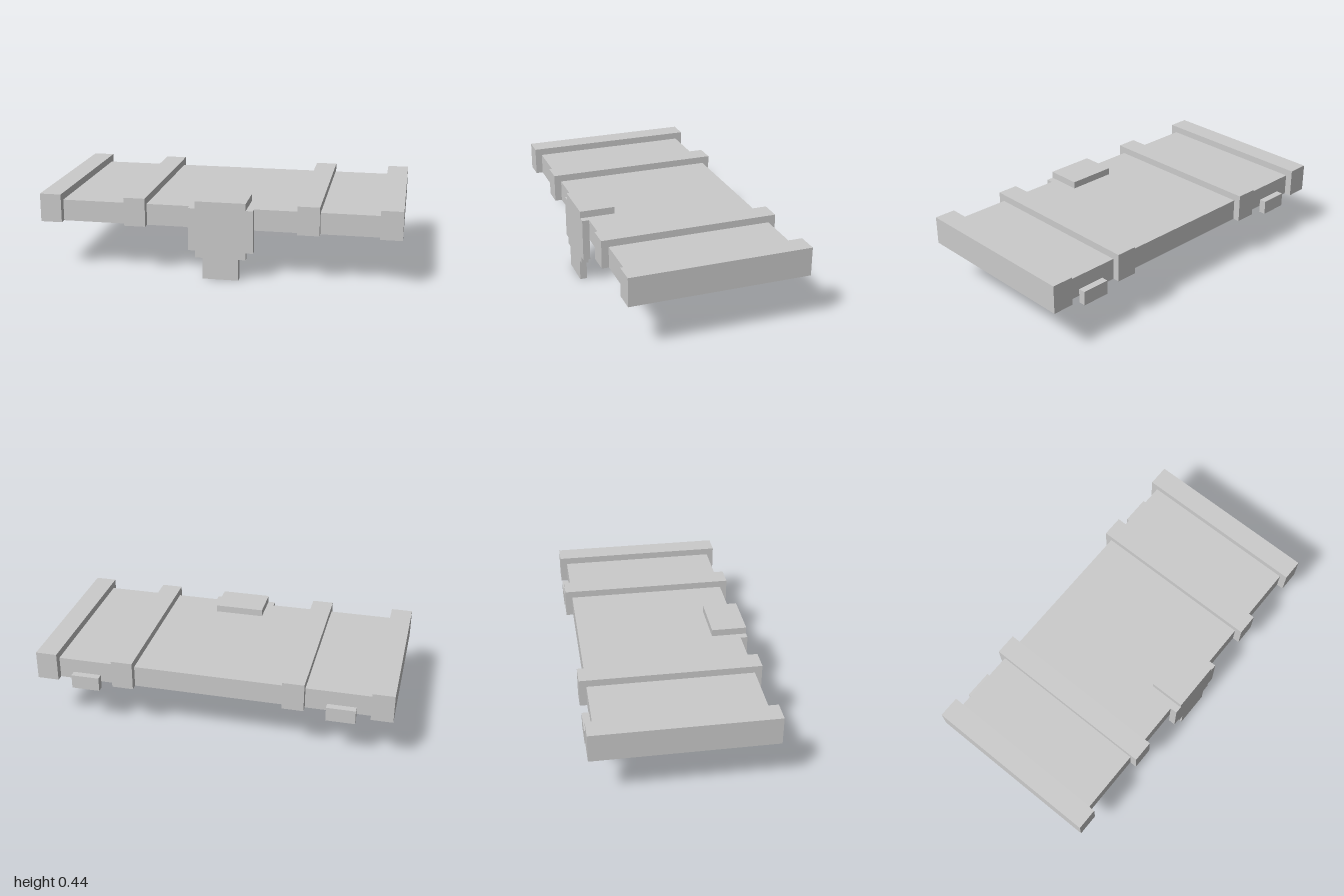
import * as THREE from 'three';

const material = new THREE.MeshStandardMaterial({ color: 0xcccccc, flatShading: true });

// Box given by its lower and upper limits on each axis
function block(name, [x0, x1], [y0, y1], [z0, z1]) {
  const mesh = new THREE.Mesh(new THREE.BoxGeometry(x1 - x0, y1 - y0, z1 - z0), material);
  mesh.name = name;
  mesh.position.set((x0 + x1) / 2, (y0 + y1) / 2, (z0 + z1) / 2);
  return mesh;
}

export function createModel() {
  const model = new THREE.Group();
  model.name = 'chestLid';

  // Flat lid panel
  model.add(block('lidPanel', [-0.88, 0.88], [0.28, 0.4], [-0.46, 0.46]));

  // Raised bands running front to back
  for (const x of [-1, -0.52, 0.44, 0.88]) {
    model.add(block('band', [x, x + 0.12], [0.28, 0.44], [-0.5, 0.5]));
  }

  // Hinges on the back edge
  for (const x of [-0.8, 0.64]) {
    model.add(block('hinge', [x, x + 0.16], [0.24, 0.32], [-0.5, -0.46]));
  }

  // Stepped latch plate hanging in front, with a tab lying on the lid
  const latch = new THREE.Group();
  latch.name = 'latch';
  const half = [[0.1, 0], [0.1, 0.12], [0.14, 0.12], [0.14, 0.16], [0.18, 0.16], [0.18, 0.4]];
  const outline = [...half, ...half.map(([x, y]) => [-x, y]).reverse()];
  const shape = new THREE.Shape(outline.map(([x, y]) => new THREE.Vector2(x + 0.02, y)));
  const plate = new THREE.Mesh(
    new THREE.ExtrudeGeometry(shape, { depth: 0.04, bevelEnabled: false }), material);
  plate.name = 'latchPlate';
  plate.position.z = 0.46;
  latch.add(plate, block('latchTab', [-0.12, 0.16], [0.4, 0.44], [0.3, 0.5]));
  model.add(latch);

  return model;
}
